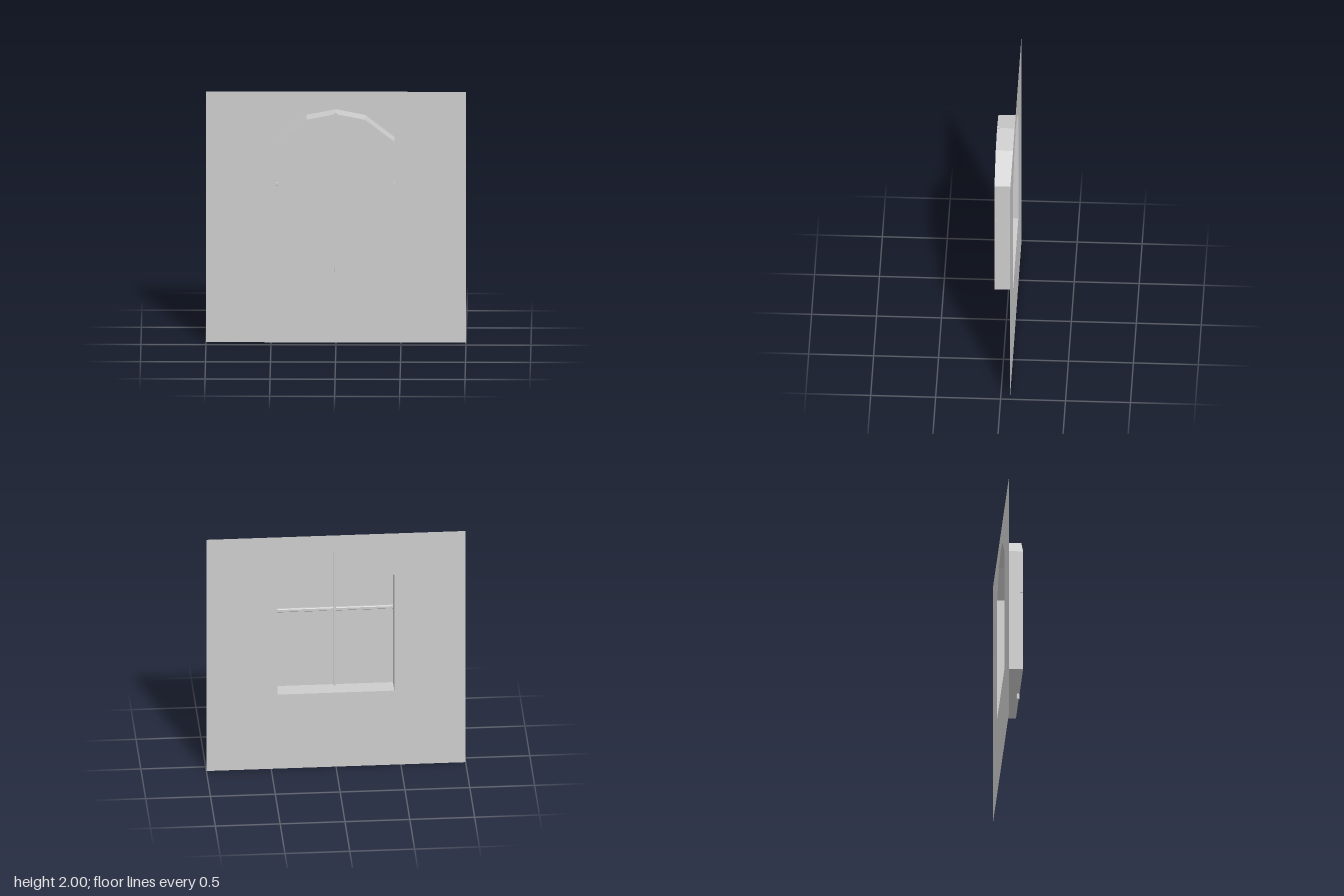
import * as THREE from 'three';

const FRONT = 0.072, BACK = -0.072;

// Arched window outline, counter-clockwise seen from the front
const outline = [
  [-0.45, 0.64], [0.45, 0.64], [0.45, 1.64], [0.225, 1.815],
  [0, 1.86], [-0.225, 1.815], [-0.45, 1.64],
].map(([x, y]) => new THREE.Vector2(x, y));

// Open band joining the wall opening to the pane
function revealGeometry() {
  const pos = [];
  outline.forEach((a, i) => {
    const b = outline[(i + 1) % outline.length];
    pos.push(a.x, a.y, BACK, b.x, b.y, BACK, b.x, b.y, FRONT);
    pos.push(a.x, a.y, BACK, b.x, b.y, FRONT, a.x, a.y, FRONT);
  });
  const g = new THREE.BufferGeometry();
  g.setAttribute('position', new THREE.Float32BufferAttribute(pos, 3));
  g.computeVertexNormals();
  return g;
}

// Bar along z with chamfered corners, centred on the origin
function barGeometry(width, depth, length, c) {
  const w = width / 2, d = depth / 2;
  const s = new THREE.Shape([
    [-w + c, -d], [w - c, -d], [w, -d + c], [w, d - c],
    [w - c, d], [-w + c, d], [-w, d - c], [-w, -d + c],
  ].map(([x, y]) => new THREE.Vector2(x, y)));
  const g = new THREE.ExtrudeGeometry(s, { depth: length, bevelEnabled: false });
  return g.translate(0, 0, -length / 2);
}

export function createModel() {
  const model = new THREE.Group();
  const grey = new THREE.MeshStandardMaterial({ color: 0xcccccc, side: THREE.DoubleSide });
  grey.name = 'plain grey';

  function add(name, geometry, x = 0, y = 0, z = 0) {
    const mesh = new THREE.Mesh(geometry, grey);
    mesh.name = name;
    mesh.position.set(x, y, z);
    model.add(mesh);
    return mesh;
  }

  // Thin square wall with an arched opening
  const wall = new THREE.Shape([[-1, 0], [1, 0], [1, 2], [-1, 2]].map(([x, y]) => new THREE.Vector2(x, y)));
  wall.holes.push(new THREE.Path(outline.slice().reverse()));
  add('wall', new THREE.ShapeGeometry(wall), 0, 0, BACK);

  // Recess sides and the pane closing it
  add('windowReveal', revealGeometry());
  add('windowPane', new THREE.ShapeGeometry(new THREE.Shape(outline)), 0, 0, FRONT);

  // Crossing glazing bars, ends poking slightly through the reveal
  const vertical = barGeometry(0.018, 0.021, 1.273, 0.003).rotateX(Math.PI / 2);
  add('verticalBar', vertical, 0, 1.2315, 0.061);
  const horizontal = barGeometry(0.028, 0.021, 0.917, 0.005).rotateZ(Math.PI / 2).rotateY(Math.PI / 2);
  // Turn the profile so its wide side stands upright
  add('horizontalBar', horizontal, -0.0035, 1.299, 0.061);

  return model;
}
